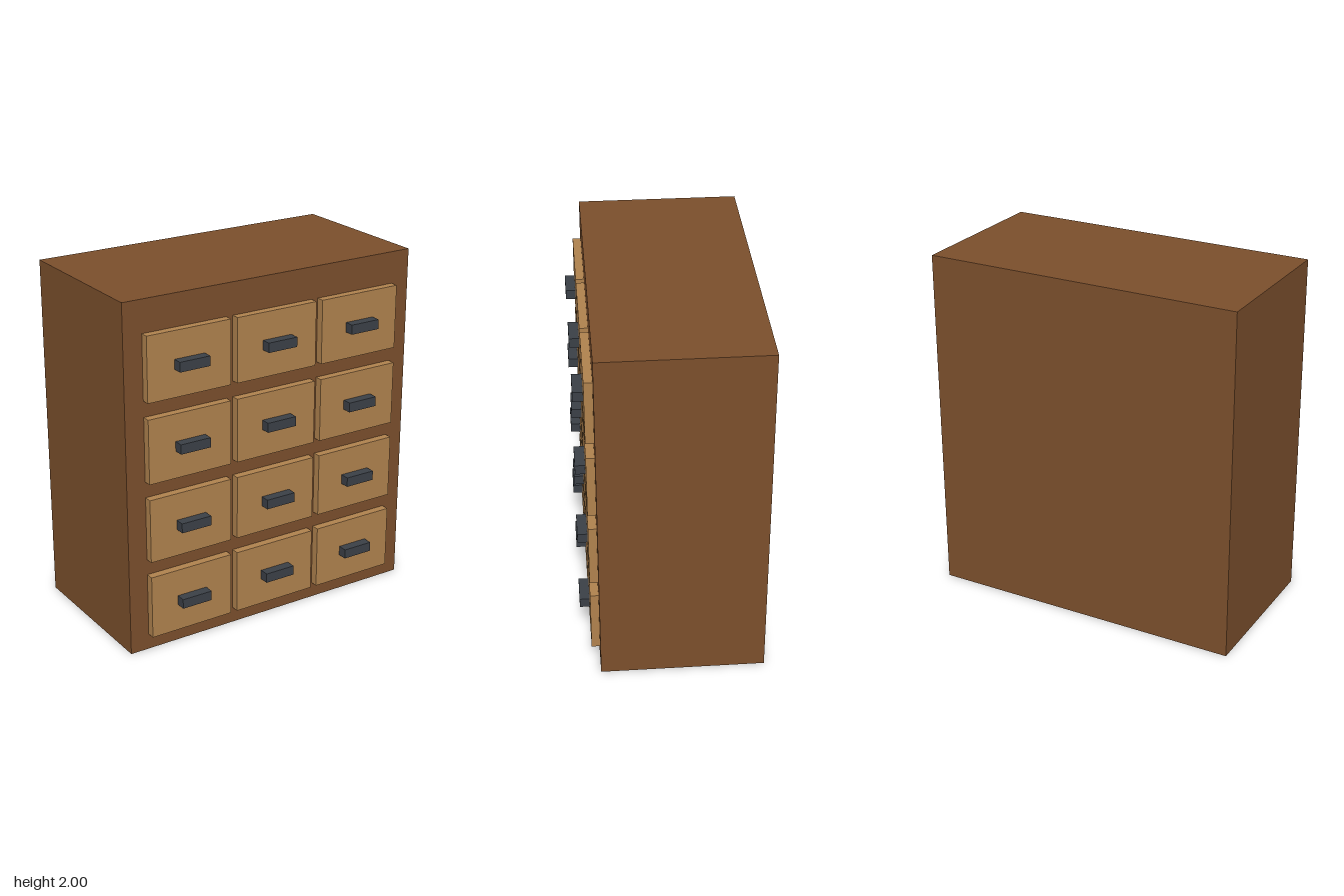
import * as THREE from 'three';

export function createModel() {
  const model = new THREE.Group();
  model.name = 'drawerCabinet';

  const material = (name, color) => {
    const m = new THREE.MeshStandardMaterial({ color });
    m.name = name;
    return m;
  };
  const darkWood = material('dark wood', 0x7b4f2c);
  const lightWood = material('light wood', 0xb0824e);
  const iron = material('dark iron', 0x3b4047);

  const addBox = (parent, name, mat, size, position) => {
    const mesh = new THREE.Mesh(new THREE.BoxGeometry(...size), mat);
    mesh.name = name;
    mesh.position.set(...position);
    parent.add(mesh);
  };

  // Solid carcass, set back to leave room for the drawer fronts and handles
  const frontZ = 0.404;
  addBox(model, 'carcass', darkWood, [1.818, 2, 0.909], [0, 1, frontZ - 0.4545]);

  // Four rows of three drawers, each a front panel with a bar handle
  const panelDepth = 0.046, handleDepth = 0.055;
  for (let row = 0; row < 4; row++) {
    for (let col = -1; col <= 1; col++) {
      const drawer = new THREE.Group();
      drawer.name = 'drawer';
      drawer.position.set(col * 0.5455, 0.2727 + row * 0.4545, frontZ);
      addBox(drawer, 'drawerFront', lightWood, [0.505, 0.364, panelDepth], [0, 0, panelDepth / 2]);
      addBox(drawer, 'handle', iron, [0.182, 0.055, handleDepth], [0, 0, panelDepth + handleDepth / 2]);
      model.add(drawer);
    }
  }
  return model;
}
